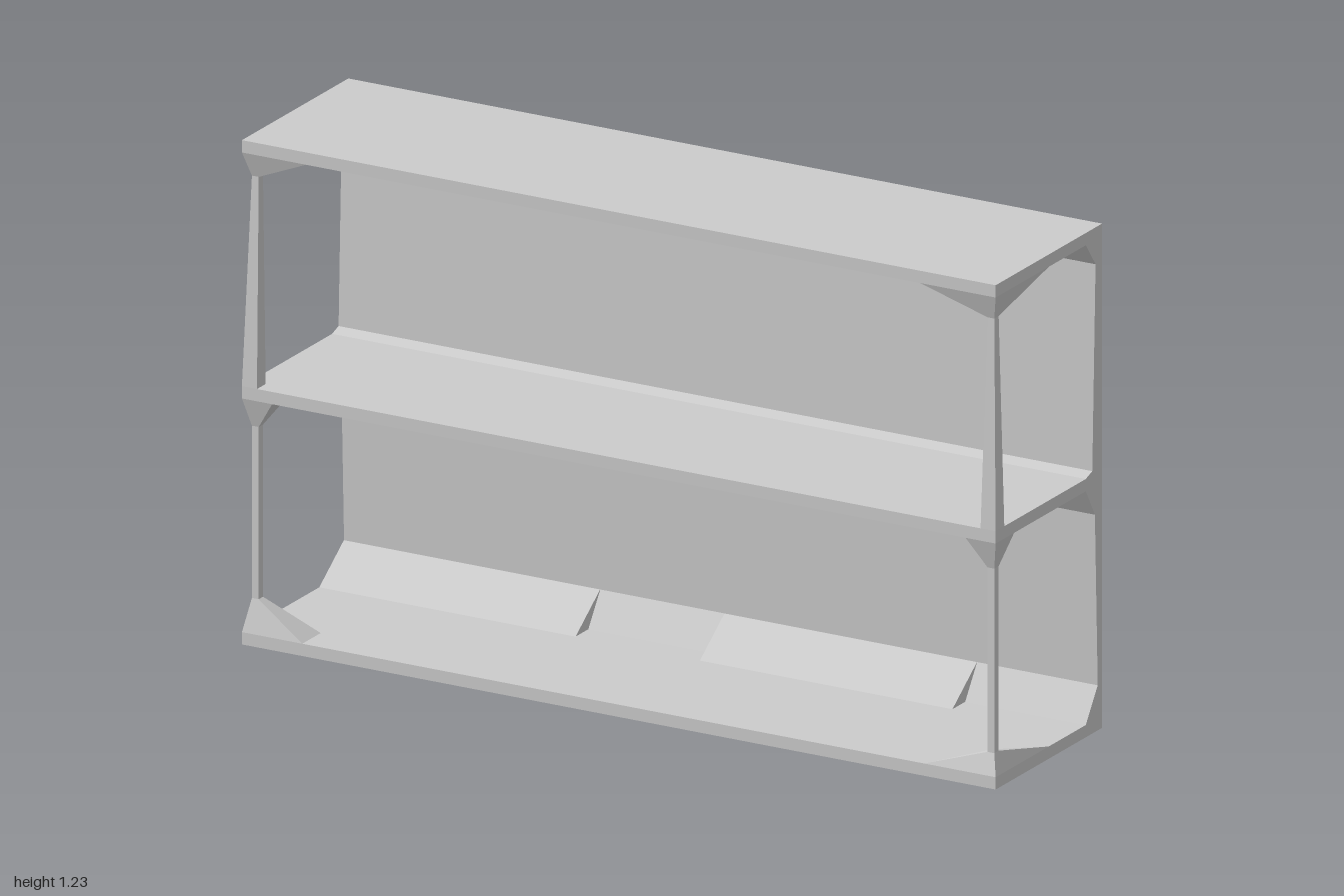
import * as THREE from 'three';
import { ConvexGeometry } from 'three/addons/geometries/ConvexGeometry.js';

export function createModel() {
  const root = new THREE.Group();
  const material = new THREE.MeshStandardMaterial({ color: 0xcccccc, flatShading: true });

  const add = (name, geometry) => {
    const mesh = new THREE.Mesh(geometry, material);
    mesh.name = name;
    root.add(mesh);
  };

  // Side profile given as [z, y], swept along x
  const sweep = (name, profile, x0, x1) => {
    const shape = new THREE.Shape(profile.map(([z, y]) => new THREE.Vector2(-z, y)));
    const geometry = new THREE.ExtrudeGeometry(shape, { depth: x1 - x0, bevelEnabled: false });
    add(name, geometry.rotateY(Math.PI / 2).translate(x0, 0, 0));
  };

  // Convex solid through [x, y, z] corners, mirrored by side
  const hull = (name, side, points) =>
    add(name, new ConvexGeometry(points.map(([x, y, z]) => new THREE.Vector3(side * x, y, z))));

  // Horizontal rectangle of corners
  const rect = (x0, x1, y, z0, z1) => [[x0, y, z0], [x1, y, z0], [x1, y, z1], [x0, y, z1]];
  const postSection = (y) => rect(0.967, 0.985, y, 0.205, 0.225);

  // Three shelves and the sloped back wall in one section
  sweep('shelvesAndBack', [
    [-0.245, 0], [0.245, 0], [0.245, 0.03], [-0.17, 0.03],
    [-0.225, 0.11], [-0.212, 0.53], [-0.17, 0.6],
    [0.245, 0.6], [0.245, 0.63], [-0.17, 0.63],
    [-0.2, 0.64], [-0.215, 1.14], [-0.17, 1.2],
    [0.245, 1.2], [0.245, 1.23], [-0.245, 1.23],
  ], -1, 1);

  // Wider fillets along the foot of the back wall
  for (const [x0, x1] of [[-1, -0.32], [0.01, 0.68]]) {
    sweep('floorWedge', [[-0.11, 0.029], [-0.224, 0.11], [-0.235, 0.11], [-0.235, 0.029]], x0, x1);
  }

  for (const side of [-1, 1]) {
    const right = side > 0;

    // Front posts; the upper one widens towards its foot
    hull('lowerPost', side, [...postSection(0.06), ...postSection(0.56)]);
    hull('upperPost', side, [...rect(0.96, 1, 0.63, 0.205, 0.245), ...postSection(1.14)]);

    // Corner flares between posts and shelves
    const base = (inner, y, back) => (right && back < 0.1
      ? [[1, y, 0.245], [inner, y, 0.245], [1, y, back]]
      : rect(inner, 1, y, back, 0.245));
    const reach = right ? 0 : 0.16;
    hull('bottomFlare', side, [
      ...base(right ? 0.81 : 0.84, 0.03, reach), ...postSection(right ? 0.08 : 0.11)]);
    hull('middleFlare', side, [...base(0.92, 0.6, 0.16), ...postSection(0.53)]);
    hull('topFlare', side, [...base(right ? 0.8 : 0.83, 1.2, reach), ...postSection(1.14)]);
  }

  return root;
}
